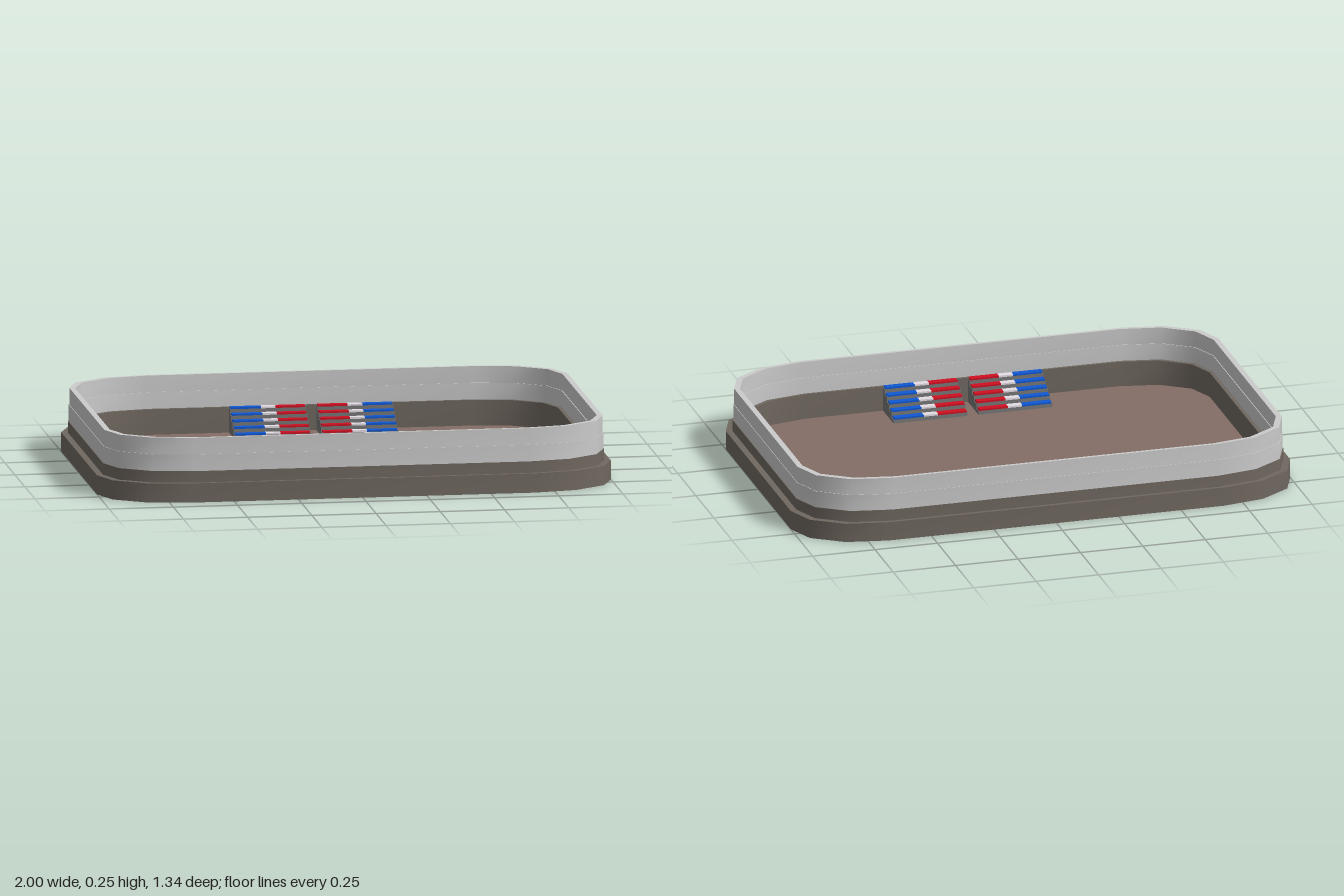
import * as THREE from 'three';
import { toCreasedNormals } from 'three/addons/utils/BufferGeometryUtils.js';

const paint = (color) => new THREE.MeshStandardMaterial({ color });
const GREY = paint(0xcccccc);
const STONE = paint(0x706860);
const BROWN = paint(0x836e66);
const FRAME = paint(0x777777);
const RED = paint(0xd01022);
const WHITE = paint(0xe4dee4);
const BLUE = paint(0x1058d4);

// Rounded-rectangle outline with three facets per corner; hx, hz are half sizes.
function outline(hx, hz, y) {
  const points = [];
  for (let corner = 0; corner < 4; corner++) {
    for (let i = 0; i <= 3; i++) {
      const a = (corner + i / 3) * Math.PI / 2;
      const sx = corner === 0 || corner === 3 ? 1 : -1;
      const sz = corner < 2 ? 1 : -1;
      points.push(new THREE.Vector3(
        hx * (0.67 * sx + 0.33 * Math.cos(a)), y,
        hz * (0.67 * sz + 0.33 * Math.sin(a))));
    }
  }
  return points;
}

// Skin a list of [hx, hz, y] sections; a zero-size section closes the surface.
function skin(name, sections, material) {
  const rings = sections.map((s) => outline(...s));
  const pos = [];
  const tri = (a, b, c) => {
    const area = b.clone().sub(a).cross(c.clone().sub(a)).length();
    if (area > 1e-9) for (const p of [a, b, c]) pos.push(p.x, p.y, p.z);
  };
  for (let i = 0; i < rings.length - 1; i++) {
    const lower = rings[i], upper = rings[i + 1];
    lower.forEach((a, j) => {
      const k = (j + 1) % lower.length;
      tri(a, upper[j], lower[k]);
      tri(lower[k], upper[j], upper[k]);
    });
  }
  const geometry = new THREE.BufferGeometry();
  geometry.setAttribute('position', new THREE.Float32BufferAttribute(pos, 3));
  const mesh = new THREE.Mesh(toCreasedNormals(geometry, 0.7), material);
  mesh.name = name;
  return mesh;
}

function box(name, x0, x1, y0, y1, z0, z1, material) {
  const mesh = new THREE.Mesh(new THREE.BoxGeometry(x1 - x0, y1 - y0, z1 - z0), material);
  mesh.position.set((x0 + x1) / 2, (y0 + y1) / 2, (z0 + z1) / 2);
  mesh.name = name;
  return mesh;
}

const FLOOR = 0.02;

// One stand of five rising rows, on the side given by sx and sz.
function stand(sx, sz) {
  const group = new THREE.Group();
  group.name = (sz > 0 ? 'front' : 'back') + (sx > 0 ? 'Left' : 'Right') + 'Stand';
  const rows = 5, pitch = 0.031;
  const bands = [[0.025, 0.14, RED], [0.14, 0.197, WHITE], [0.197, 0.315, BLUE]];
  const span = (a, b, s) => (s > 0 ? [a, b] : [-b, -a]);
  for (let r = 0; r < rows; r++) {
    const z = 0.483 + r * pitch;
    const top = 0.042 + r * 0.02;
    group.add(box('riser', ...span(0.022, 0.318, sx), FLOOR, top - 0.007,
      ...span(z, z + pitch, sz), FRAME));
    for (const [a, b, material] of bands) {
      group.add(box('seatRow', ...span(a, b, sx), top - 0.007, top,
        ...span(z, z + 0.027, sz), material));
    }
  }
  return group;
}

export function createModel() {
  const model = new THREE.Group();

  // Stepped base with a recessed middle
  model.add(skin('base', [
    [0, 0, 0], [1, 0.67, 0], [1, 0.67, 0.075], [0.975, 0.656, 0.075],
    [0.975, 0.656, 0.12], [0.93, 0.628, 0.12], [0.93, 0.628, FLOOR],
  ], STONE));
  model.add(skin('arenaFloor', [[0.93, 0.628, FLOOR], [0, 0, FLOOR]], BROWN));

  // Lower boards and the slightly thinner screen above them
  model.add(skin('boards', [
    [0.972, 0.655, 0.12], [0.972, 0.655, 0.185],
    [0.945, 0.638, 0.185], [0.945, 0.638, 0.12],
  ], GREY));
  model.add(skin('screen', [
    [0.97, 0.653, 0.185], [0.97, 0.653, 0.25],
    [0.948, 0.64, 0.25], [0.948, 0.64, 0.185],
  ], GREY));

  // Two pairs of spectator stands
  for (const sz of [1, -1]) for (const sx of [1, -1]) model.add(stand(sx, sz));

  return model;
}
